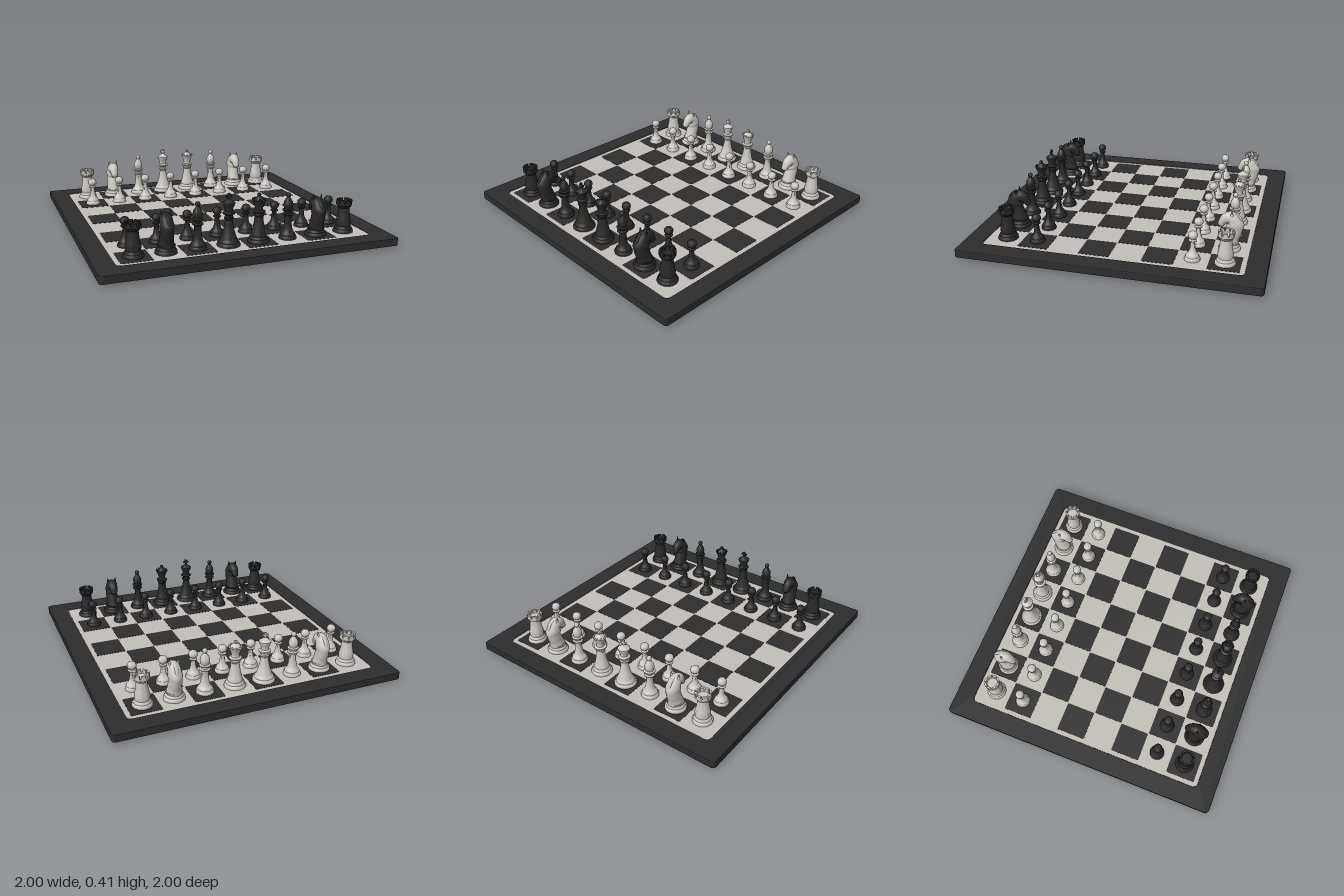
import * as THREE from 'three';
import { toCreasedNormals } from 'three/addons/utils/BufferGeometryUtils.js';

const mat = (name, color) => Object.assign(new THREE.MeshStandardMaterial({ color }), { name });

const PITCH = 0.209; // chequer square pitch
const FLOOR = 0.062; // playing surface height

function add(parent, name, geometry, material, x = 0, y = 0, z = 0) {
  const m = new THREE.Mesh(geometry, material);
  m.name = name;
  m.position.set(x, y, z);
  parent.add(m);
  return m;
}

function roundedSquare(half, r, Type = THREE.Shape) {
  const s = new Type(), h = half;
  s.moveTo(-h + r, -h);
  s.lineTo(h - r, -h).absarc(h - r, -h + r, r, -Math.PI / 2, 0);
  s.lineTo(h, h - r).absarc(h - r, h - r, r, 0, Math.PI / 2);
  s.lineTo(-h + r, h).absarc(-h + r, h - r, r, Math.PI / 2, Math.PI);
  s.lineTo(-h, -h + r).absarc(-h + r, -h + r, r, Math.PI, Math.PI * 1.5);
  return s;
}

// Horizontal slab from an outline, rising from y = 0
function slab(shape, height, bevel = 0) {
  const g = new THREE.ExtrudeGeometry(shape, {
    depth: height - 2 * bevel, bevelEnabled: bevel > 0, bevelSize: bevel,
    bevelThickness: bevel, bevelOffset: -bevel, bevelSegments: 2, curveSegments: 6,
  });
  return g.translate(0, 0, bevel).rotateX(-Math.PI / 2);
}

// Turned body: flat list of radius, height pairs
function turned(flat) {
  const pts = [];
  for (let i = 0; i < flat.length; i += 2) pts.push(new THREE.Vector2(flat[i], flat[i + 1]));
  return toCreasedNormals(new THREE.LatheGeometry(pts, 36), 0.75);
}

// Stepped foot shared by all pieces, scaled to the base radius
const foot = (r) => [0, 0, r, 0, r, 0.012, r * 0.95, 0.02, r * 0.86, 0.024, r * 0.84, 0.034, r * 0.72, 0.042];

// Horse neck and head: elliptical sections swept along a bent spine
function horseGeometry() {
  // height, forward, in-plane radius, half width
  const stations = [
    [0.04, 0, 0.056, 0.052], [0.09, -0.012, 0.05, 0.045], [0.14, -0.028, 0.05, 0.044],
    [0.185, -0.024, 0.05, 0.044], [0.218, -0.001, 0.044, 0.041], [0.215, 0.03, 0.036, 0.035],
    [0.19, 0.052, 0.028, 0.028], [0.163, 0.068, 0.02, 0.02],
  ];
  const spine = new THREE.CatmullRomCurve3(stations.map((s) => new THREE.Vector3(0, s[0], s[1])));
  const sizes = new THREE.CatmullRomCurve3(stations.map((s) => new THREE.Vector3(s[2], s[3], 0)));
  const rings = 24, sides = 20, pos = [], idx = [];
  for (let i = 0; i <= rings; i++) {
    const p = spine.getPoint(i / rings), t = spine.getTangent(i / rings), s = sizes.getPoint(i / rings);
    for (let j = 0; j < sides; j++) {
      const a = (j / sides) * Math.PI * 2, d = Math.cos(a) * s.x;
      pos.push(Math.sin(a) * s.y, p.y - t.z * d, p.z + t.y * d);
      if (i < rings) {
        const k = (j + 1) % sides, A = i * sides + j, B = i * sides + k;
        idx.push(A, B, A + sides, B, B + sides, A + sides);
      }
    }
  }
  // close the muzzle
  const tip = spine.getPoint(1);
  pos.push(0, tip.y - 0.006, tip.z + 0.004);
  for (let j = 0; j < sides; j++) idx.push(rings * sides + j, rings * sides + ((j + 1) % sides), (rings + 1) * sides);
  const g = new THREE.BufferGeometry();
  g.setAttribute('position', new THREE.Float32BufferAttribute(pos, 3));
  g.setIndex(idx);
  g.computeVertexNormals();
  return g;
}

function makeGeometries() {
  // one battlement block of the rook, an arc of a ring
  const n = 8, half = Math.PI / n - 0.1;
  const arc = new THREE.Shape();
  arc.absarc(0, 0, 0.053, -half, half, false);
  arc.absarc(0, 0, 0.038, half, -half, true);
  return {
    pawn: turned([...foot(0.051), 0.026, 0.055, 0.019, 0.08, 0.015, 0.115, 0.016, 0.126, 0.026, 0.13,
      0.027, 0.136, 0.016, 0.142, 0.02, 0.148, 0.028, 0.156, 0.031, 0.166, 0.029, 0.179, 0.021, 0.19, 0.01, 0.195, 0, 0.196]),
    rook: turned([...foot(0.067), 0.051, 0.07, 0.044, 0.1, 0.038, 0.14, 0.036, 0.168, 0.046, 0.176, 0.047, 0.184,
      0.053, 0.189, 0.053, 0.203, 0.038, 0.203, 0.036, 0.198, 0, 0.198]),
    merlon: slab(arc, 0.021),
    knight: turned([...foot(0.072), 0.056, 0.048, 0.056, 0.055, 0, 0.06]),
    horse: horseGeometry(),
    ear: new THREE.ConeGeometry(0.017, 0.06, 10),
    mane: new THREE.TorusGeometry(0.07, 0.013, 8, 20, 2.5),
    bishop: turned([...foot(0.059), 0.036, 0.05, 0.03, 0.07, 0.025, 0.1, 0.023, 0.14, 0.026, 0.156, 0.036, 0.162,
      0.036, 0.168, 0.025, 0.174, 0.026, 0.184, 0.038, 0.19, 0.038, 0.197, 0.026, 0.202, 0.03, 0.215, 0.033, 0.23,
      0.028, 0.25, 0.017, 0.268, 0.011, 0.279, 0.016, 0.288, 0.017, 0.296, 0.012, 0.306, 0, 0.311]),
    queen: turned([...foot(0.072), 0.052, 0.05, 0.047, 0.065, 0.038, 0.1, 0.031, 0.14, 0.028, 0.172, 0.034, 0.178,
      0.034, 0.186, 0.028, 0.192, 0.042, 0.2, 0.042, 0.207, 0.027, 0.214, 0.025, 0.228, 0.034, 0.255, 0.045, 0.283,
      0.04, 0.286, 0.035, 0.281, 0.028, 0.295, 0.012, 0.304, 0.01, 0.308, 0.014, 0.316, 0.01, 0.325, 0, 0.328]),
    point: new THREE.SphereGeometry(0.0075, 8, 6),
    king: turned([...foot(0.076), 0.053, 0.05, 0.047, 0.066, 0.036, 0.1, 0.028, 0.14, 0.024, 0.172, 0.032, 0.178,
      0.032, 0.185, 0.025, 0.19, 0.025, 0.202, 0.04, 0.21, 0.04, 0.218, 0.026, 0.226, 0.026, 0.24, 0.034, 0.262,
      0.041, 0.277, 0.041, 0.283, 0.032, 0.289, 0.018, 0.3, 0.008, 0.308, 0, 0.31]),
    crossPost: new THREE.BoxGeometry(0.014, 0.042, 0.011),
    crossArm: new THREE.BoxGeometry(0.04, 0.013, 0.011),
  };
}

function makePiece(kind, G, m) {
  const g = new THREE.Group();
  g.name = kind;
  add(g, kind + 'Body', G[kind], m);
  if (kind === 'rook') {
    for (let i = 0; i < 8; i++) add(g, 'battlement', G.merlon, m, 0, 0.202, 0).rotation.y = (i * Math.PI) / 4;
  } else if (kind === 'knight') {
    add(g, 'horseHead', G.horse, m);
    // crest along the back of the neck
    const mane = add(g, 'mane', G.mane, m, 0, 0.172, 0);
    mane.rotation.set(0, -Math.PI / 2, 0);
    mane.geometry.userData.shared = true;
    mane.rotation.y = Math.PI / 2;
    mane.rotation.z = -0.0;
    mane.scale.set(1, 1.1, 1);
    mane.rotation.set(0, Math.PI / 2, 0);
    for (const s of [-1, 1]) {
      const ear = add(g, 'ear', G.ear, m, s * 0.027, 0.252, -0.006);
      ear.rotation.z = -s * 0.16;
    }
  } else if (kind === 'queen') {
    for (let i = 0; i < 10; i++) {
      const a = (i / 10) * Math.PI * 2;
      add(g, 'crownPoint', G.point, m, Math.cos(a) * 0.041, 0.285, Math.sin(a) * 0.041);
    }
  } else if (kind === 'king') {
    add(g, 'crossPost', G.crossPost, m, 0, 0.323, 0);
    add(g, 'crossArm', G.crossArm, m, 0, 0.325, 0);
  }
  return g;
}

export function createModel() {
  const model = new THREE.Group();
  model.name = 'chessSet';
  const frameMat = mat('frame black', 0x2d2d2d);
  const lightSquare = mat('light square', 0xc2c0b9);
  const darkSquare = mat('dark square', 0x2e2e2e);
  const lightPiece = mat('light piece', 0xc8c7c1);
  const darkPiece = mat('dark piece', 0x292929);

  // Board: frame, underside, inlaid panel, feet
  const board = new THREE.Group();
  board.name = 'board';
  model.add(board);
  const outline = roundedSquare(1, 0.025);
  outline.holes.push(roundedSquare(0.865, 0.03, THREE.Path));
  add(board, 'frame', slab(outline, 0.053, 0.005), frameMat, 0, 0.013, 0);
  add(board, 'underside', slab(roundedSquare(0.99, 0.02), 0.01), frameMat, 0, 0.013, 0);
  add(board, 'lightPanel', slab(roundedSquare(0.868, 0.03), 0.038), lightSquare, 0, 0.023, 0);
  const footGeo = new THREE.CylinderGeometry(0.037, 0.037, 0.014, 24);
  for (const x of [-0.92, 0.92]) for (const z of [-0.92, 0.92]) add(board, 'foot', footGeo, frameMat, x, 0.007, z);

  // Dark squares as thin plates
  const tile = slab(roundedSquare(0.1025, 0.008), 0.002);
  for (let row = 0; row < 8; row++)
    for (let col = 0; col < 8; col++)
      if ((row + col) % 2) add(board, 'darkSquare', tile, darkSquare, (col - 3.5) * PITCH, 0.0605, (row - 3.5) * PITCH);

  // Both armies, facing each other
  const G = makeGeometries();
  G.mane.rotateZ(-1.25); // arc centred on +x, turned to the back of the neck when placed
  const order = ['rook', 'knight', 'bishop', 'king', 'queen', 'bishop', 'knight', 'rook'];
  for (const side of [-1, 1]) {
    const army = new THREE.Group();
    army.name = side < 0 ? 'lightArmy' : 'darkArmy';
    model.add(army);
    const m = side < 0 ? lightPiece : darkPiece;
    order.forEach((kind, i) => {
      for (const [k, z] of [[kind, 3.5], ['pawn', 2.5]]) {
        const p = makePiece(k, G, m);
        p.position.set((i - 3.5) * PITCH, FLOOR, side * z * PITCH);
        if (side > 0) p.rotation.y = Math.PI;
        army.add(p);
      }
    });
  }
  return model;
}
